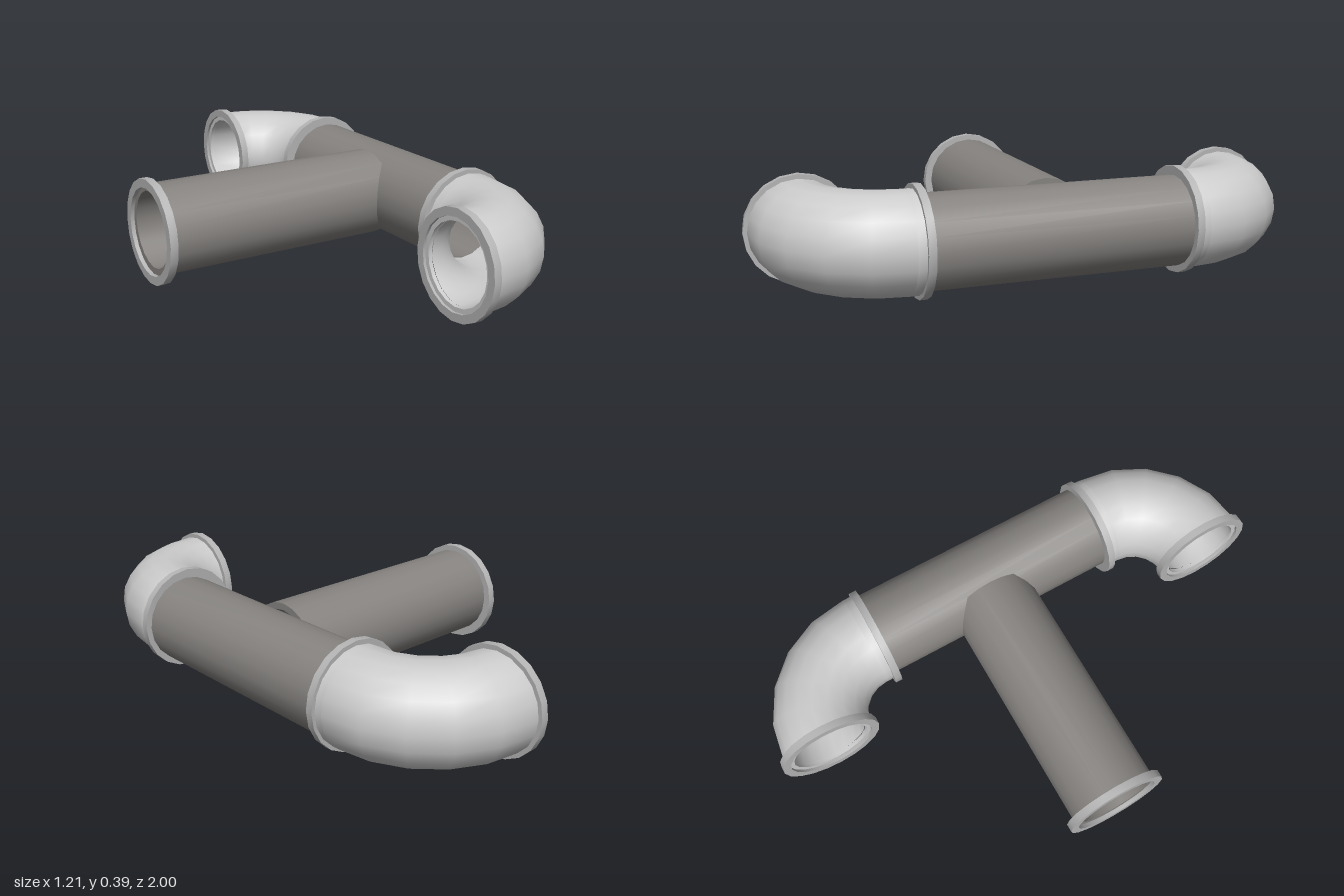
import * as THREE from 'three';
import { toCreasedNormals } from 'three/addons/utils/BufferGeometryUtils.js';

const SIDES = 20;
const CENTER_Y = 0.202;
const pipeMat = new THREE.MeshStandardMaterial({ color: 0x868380 });
const flangeMat = new THREE.MeshStandardMaterial({ color: 0xb4b4b4 });
const elbowMat = new THREE.MeshStandardMaterial({ color: 0xcccccc });
const boreMat = new THREE.MeshStandardMaterial({ color: 0xcccccc, side: THREE.BackSide });

// Hollow round sleeve from a to b along the x or z axis
function sleeve(name, axis, a, b, outer, inner, material) {
  const profile = [[inner, a], [outer, a], [outer, b], [inner, b], [inner, a]]
    .map(([r, h]) => new THREE.Vector2(r, h));
  let geometry = new THREE.LatheGeometry(profile, SIDES);
  if (axis === 'x') geometry.rotateZ(-Math.PI / 2);
  else geometry.rotateX(Math.PI / 2);
  geometry = toCreasedNormals(geometry, 0.6);
  const mesh = new THREE.Mesh(geometry, material);
  mesh.name = name;
  return mesh;
}

// Quarter-turn elbow with hollow bore, collars and a flange at each end
function elbow(side) {
  const group = new THREE.Group();
  group.name = side > 0 ? 'frontElbow' : 'backElbow';
  for (const [name, radius, material] of [['elbowShell', 0.176, elbowMat], ['elbowBore', 0.145, boreMat]]) {
    const geometry = new THREE.TorusGeometry(0.295, radius, SIDES, 5, Math.PI / 2);
    geometry.rotateX(side * Math.PI / 2);
    const bend = new THREE.Mesh(geometry, material);
    bend.name = name;
    bend.position.set(0.12, CENTER_Y, side * 0.515);
    group.add(bend);
  }
  const span = (a, b) => (side > 0 ? [a, b] : [-b, -a]);
  const mouthCollar = sleeve('mouthCollar', 'x', 0.105, 0.12, 0.176, 0.145, elbowMat);
  const mouthFlange = sleeve('mouthFlange', 'x', 0.095, 0.123, 0.192, 0.162, flangeMat);
  for (const part of [mouthCollar, mouthFlange]) part.position.set(0, CENTER_Y, side * 0.808);

  const pipeCollar = sleeve('pipeCollar', 'z', ...span(0.47, 0.515), 0.176, 0.145, elbowMat);
  const pipeFlange = sleeve('pipeFlange', 'z', ...span(0.458, 0.485), 0.192, 0.155, flangeMat);
  pipeCollar.position.set(0.415, CENTER_Y, 0);
  pipeFlange.position.set(0.411, CENTER_Y, 0);
  group.add(mouthCollar, mouthFlange, pipeCollar, pipeFlange);
  return group;
}

export function createModel() {
  const model = new THREE.Group();
  model.name = 'pipeJunction';

  // Main pipe between the elbows
  const mainPipe = sleeve('mainPipe', 'z', -0.475, 0.475, 0.162, 0.14, pipeMat);
  mainPipe.position.set(0.42, 0.2, 0);

  // Side branch and its end flange
  const branchPipe = sleeve('branchPipe', 'x', -0.59, 0.325, 0.165, 0.14, pipeMat);
  branchPipe.position.set(0, 0.199, -0.01);
  const branchFlange = sleeve('branchFlange', 'x', -0.605, -0.576, 0.192, 0.16, flangeMat);
  branchFlange.position.set(0, 0.193, -0.01);

  model.add(mainPipe, branchPipe, branchFlange, elbow(1), elbow(-1));
  return model;
}
